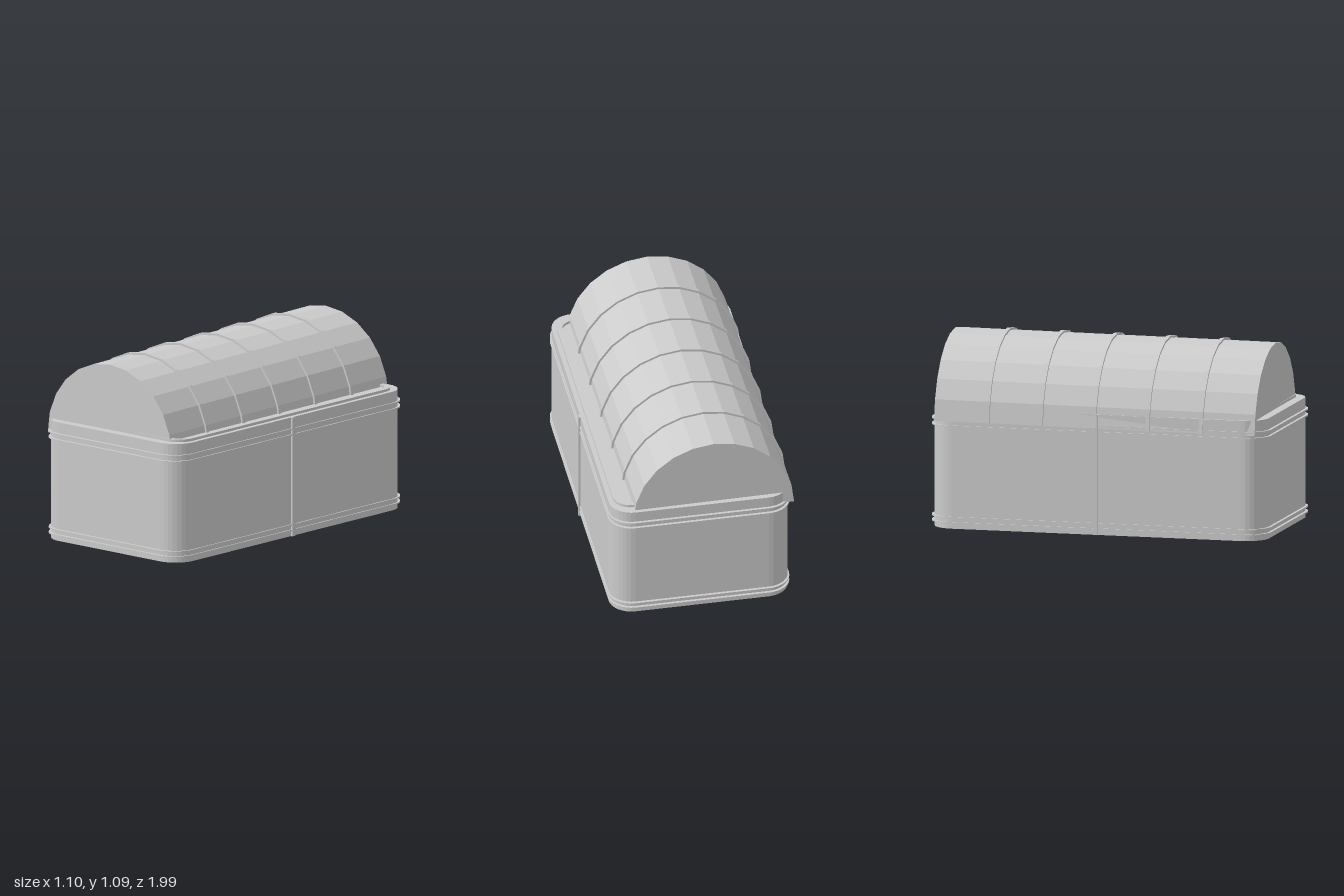
import * as THREE from 'three';

const material = new THREE.MeshStandardMaterial({ color: 0xcccccc, flatShading: true });

function add(parent, name, geometry) {
  const mesh = new THREE.Mesh(geometry, material);
  mesh.name = name;
  parent.add(mesh);
  return mesh;
}

// Rounded rectangle outline, half sizes hx and hz, corner radius r
function outline(hx, hz, r, Type = THREE.Shape) {
  const s = new Type();
  s.moveTo(hx, -hz + r);
  [[1, 1, 0], [-1, 1, 1], [-1, -1, 2], [1, -1, 3]].forEach(([sx, sz, q]) => {
    const a = q * Math.PI / 2;
    s.absarc(sx * (hx - r), sz * (hz - r), r, a, a + Math.PI / 2, false);
  });
  s.closePath();
  return s;
}

// Upright prism of an outline from y0 to y1
function slab(shape, y0, y1) {
  return new THREE.ExtrudeGeometry(shape, { depth: y1 - y0, bevelEnabled: false, curveSegments: 4 })
    .rotateX(-Math.PI / 2).translate(0, y0, 0);
}

// Half disc of 12 flat facets, centred along z
function halfDrum(radius, length) {
  const s = new THREE.Shape();
  for (let i = 0; i <= 12; i++) {
    const a = i * Math.PI / 12;
    s[i ? 'lineTo' : 'moveTo'](radius * Math.cos(a), radius * Math.sin(a));
  }
  s.closePath();
  return new THREE.ExtrudeGeometry(s, { depth: length, bevelEnabled: false })
    .translate(0, 0, -length / 2);
}

export function createModel() {
  const model = new THREE.Group();
  model.name = 'chest';

  // Body, turned slightly
  const body = new THREE.Group();
  body.name = 'body';
  body.position.x = 0.005;
  body.rotation.y = 0.025;
  model.add(body);
  add(body, 'bodyShell', slab(outline(0.512, 0.972, 0.13), 0, 0.685));

  // Raised lip inside the top edge
  const lip = outline(0.485, 0.918, 0.1);
  lip.holes.push(outline(0.455, 0.888, 0.07, THREE.Path));
  add(body, 'lip', slab(lip, 0.68, 0.7));

  // Thin bands around the body
  for (const y of [0.03, 0.06, 0.58, 0.614]) {
    add(body, 'band', slab(outline(0.519, 0.988, 0.135), y, y + 0.008));
  }

  // Upright strips at the middle of the long sides
  for (const side of [-1, 1]) {
    add(body, 'sideStrip', new THREE.BoxGeometry(0.02, 0.685, 0.025))
      .position.set(side * 0.513, 0.3425, 0);
  }

  // Barrel lid, set askew on the body
  const lid = new THREE.Group();
  lid.name = 'lid';
  lid.position.set(-0.055, 0.608, -0.012);
  lid.rotation.set(0.0075, 0.038, 0);
  model.add(lid);
  add(lid, 'lidShell', halfDrum(0.461, 1.862));

  // Ribs over the lid
  for (let i = -2; i <= 2; i++) {
    add(lid, 'rib', halfDrum(0.473, 0.022)).position.z = i * 0.31;
  }

  return model;
}
